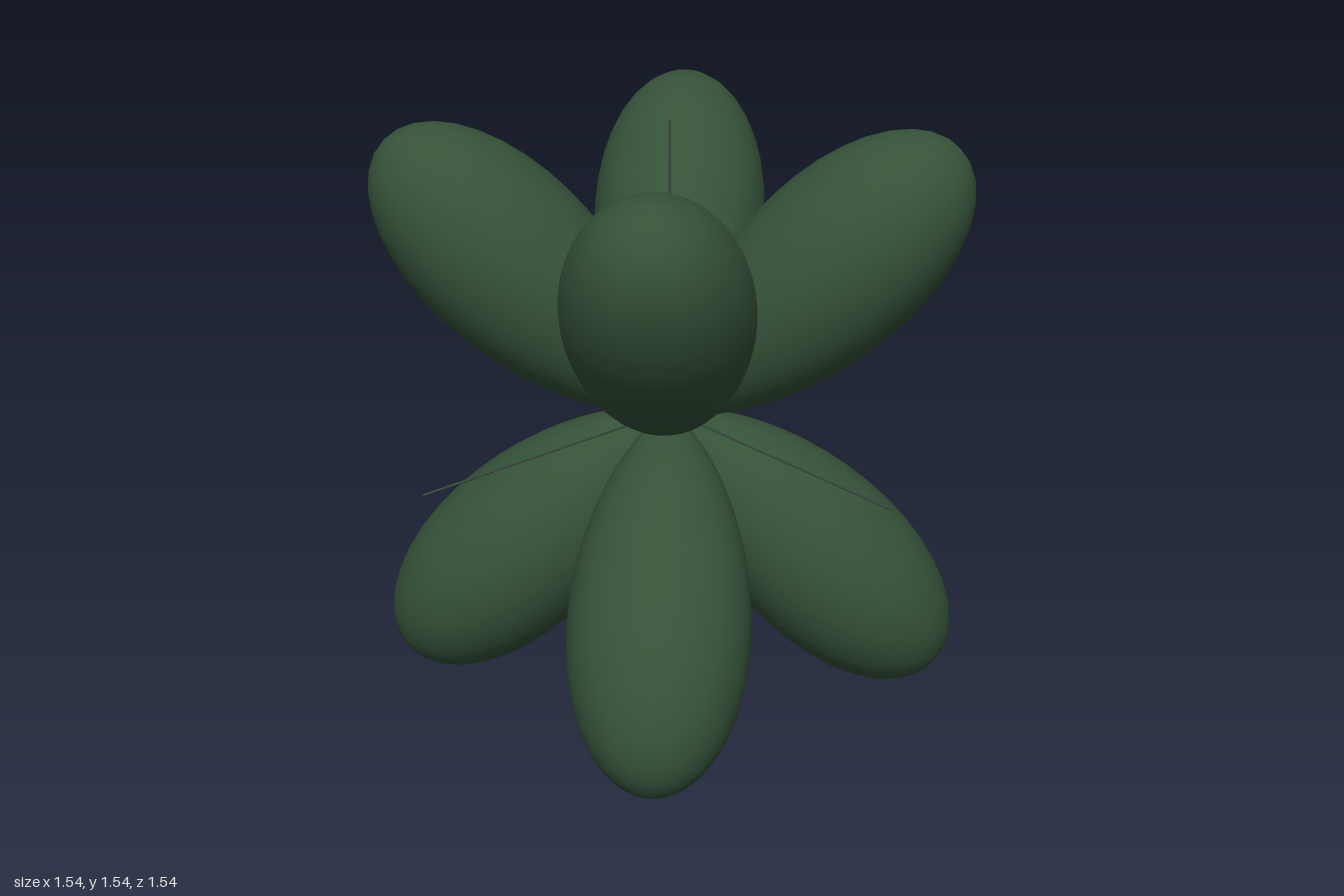
import * as THREE from 'three';

const CENTRE_Y = 0.77;
const LOBE_LENGTH = 1.0;
const FALLOFF = 6.5; // how quickly a lobe narrows away from its axis

// Teardrop of revolution: radius = length * cos(angle)^falloff
function lobeGeometry() {
  const points = [];
  const steps = 32;
  for (let i = 0; i <= steps; i++) {
    const angle = (1 - i / steps) * THREE.MathUtils.degToRad(76);
    const r = LOBE_LENGTH * Math.cos(angle) ** FALLOFF;
    points.push(new THREE.Vector2(r * Math.sin(angle), r * Math.cos(angle)));
  }
  points[0].set(0, 0);
  points[steps].x = 0;
  return new THREE.LatheGeometry(points, 48);
}

export function createModel() {
  const model = new THREE.Group();
  model.name = 'eightLobedOrbital';
  const lobeMaterial = new THREE.MeshStandardMaterial({ color: 0x355239 });
  const axisMaterial = new THREE.MeshStandardMaterial({ color: 0x3a4a40 });
  const up = new THREE.Vector3(0, 1, 0);

  // Eight lobes, one per octant, tilted 45 degrees from vertical
  const lobes = new THREE.Group();
  lobes.name = 'lobes';
  lobes.position.y = CENTRE_Y;
  const geometry = lobeGeometry();
  for (const sy of [1, -1]) {
    for (const sx of [1, -1]) {
      for (const sz of [1, -1]) {
        const lobe = new THREE.Mesh(geometry, lobeMaterial);
        lobe.name = `${sy > 0 ? 'upper' : 'lower'}${sz > 0 ? 'Front' : 'Back'}${sx > 0 ? 'Left' : 'Right'}Lobe`;
        const direction = new THREE.Vector3(sx * 0.5, sy * Math.SQRT1_2, sz * 0.5);
        lobe.quaternion.setFromUnitVectors(up, direction.normalize());
        lobes.add(lobe);
      }
    }
  }
  model.add(lobes);

  // Three thin coordinate rods crossing at the centre
  const rod = new THREE.CylinderGeometry(0.003, 0.003, CENTRE_Y * 2, 8);
  const rods = { sidewaysAxis: [0, 0, Math.PI / 2], verticalAxis: [0, 0, 0], depthAxis: [Math.PI / 2, 0, 0] };
  for (const [name, rotation] of Object.entries(rods)) {
    const axis = new THREE.Mesh(rod, axisMaterial);
    axis.name = name;
    axis.position.y = CENTRE_Y;
    axis.rotation.set(...rotation);
    model.add(axis);
  }

  // Small bead at the crossing point
  const bead = new THREE.Mesh(
    new THREE.SphereGeometry(0.01, 16, 12),
    new THREE.MeshStandardMaterial({ color: 0xcccccc })
  );
  bead.name = 'centreBead';
  bead.position.y = CENTRE_Y;
  model.add(bead);

  return model;
}
